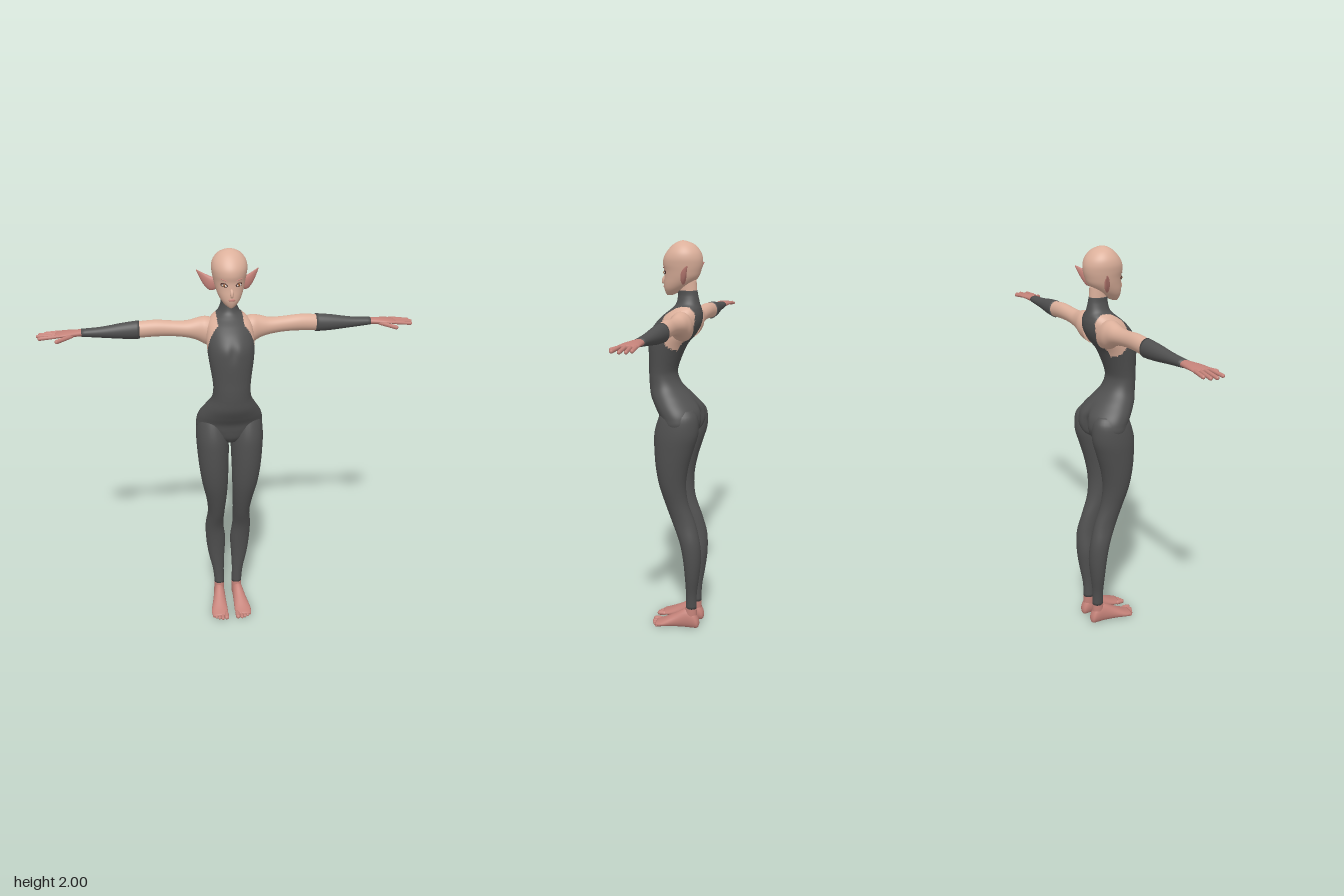
import * as THREE from 'three';

const mat = (name, color) => {
  const m = new THREE.MeshStandardMaterial({ color });
  m.name = name;
  return m;
};

// Smooth interpolation through a list of cross-sections
function refine(rings, steps) {
  const out = [], n = rings.length - 1;
  for (let i = 0; i < n; i++) {
    const [p, a, b, q] = [rings[Math.max(i - 1, 0)], rings[i], rings[i + 1], rings[Math.min(i + 2, n)]];
    for (let s = 0; s < steps; s++) {
      const t = s / steps;
      out.push(a.map((v, k) => {
        const m0 = (b[k] - p[k]) / 2, m1 = (q[k] - v) / 2, d = b[k] - v;
        return v + m0 * t + (3 * d - 2 * m0 - m1) * t * t + (m0 + m1 - 2 * d) * t * t * t;
      }));
    }
  }
  out.push(rings[n]);
  return out;
}

// Closed loft. Ring: [station, centre, half width, high side, low side].
// map(u, v, t) turns section coordinates into a point [x, y, z].
function loft(rings, map, steps = 4, sides = 32) {
  const fine = refine(rings, steps), pos = [], idx = [];
  for (const [t, c, h, hi, lo] of fine) {
    for (let j = 0; j < sides; j++) {
      const a = (j / sides) * Math.PI * 2;
      pos.push(...map(c + h * Math.cos(a), (hi + lo) / 2 + (hi - lo) / 2 * Math.sin(a), t));
    }
  }
  const last = (fine.length - 1) * sides, ends = fine.length * sides;
  for (const [t, c, , hi, lo] of [fine[0], fine.at(-1)]) pos.push(...map(c, (hi + lo) / 2, t));
  for (let j = 0; j < sides; j++) {
    const k = (j + 1) % sides;
    for (let r = 0; r < last; r += sides) {
      idx.push(r + j, r + sides + j, r + k, r + k, r + sides + j, r + sides + k);
    }
    idx.push(ends, j, k, ends + 1, last + k, last + j);
  }
  const g = new THREE.BufferGeometry();
  g.setAttribute('position', new THREE.Float32BufferAttribute(pos, 3));
  g.setIndex(idx);
  g.computeVertexNormals();
  return g;
}
const alongY = (u, v, t) => [u, t, v];   // ring: y, x centre, half width, z front, z back
const alongX = (u, v, t) => [t, v, u];   // ring: x, z centre, half depth, y top, y bottom
const alongZ = (u, v, t) => [u, v, t];   // ring: z (falling), x centre, half width, y top, y bottom

// Copy of a geometry on the other side of x = 0, with its winding kept outward
function mirrored(g) {
  const m = g.clone().scale(-1, 1, 1), ix = m.index.array;
  for (let i = 0; i < ix.length; i += 3) [ix[i], ix[i + 1]] = [ix[i + 1], ix[i]];
  m.computeVertexNormals();
  return m;
}

// Rounded finger or toe between two points
function digit(a, b, r) {
  const A = new THREE.Vector3(...a), B = new THREE.Vector3(...b), d = B.clone().sub(A);
  const g = new THREE.CapsuleGeometry(r, d.length() - r, 4, 10);
  g.applyQuaternion(new THREE.Quaternion().setFromUnitVectors(new THREE.Vector3(0, 1, 0), d.normalize()));
  return g.translate(...A.add(B).multiplyScalar(0.5).toArray());
}

const bump = (v, c, r) => Math.exp(-(((v - c) / r) ** 2));

const HEAD = [
  [1.742, 0, 0.010, 0.055, 0.03], [1.755, 0, 0.028, 0.062, 0.0], [1.775, 0, 0.045, 0.068, -0.035],
  [1.80, 0, 0.058, 0.069, -0.07], [1.83, 0, 0.068, 0.067, -0.1], [1.86, 0, 0.075, 0.067, -0.112],
  [1.89, 0, 0.081, 0.073, -0.119], [1.92, 0, 0.084, 0.069, -0.119], [1.95, 0, 0.077, 0.052, -0.108],
  [1.978, 0, 0.056, 0.026, -0.083], [1.994, 0, 0.028, 0.0, -0.05], [2.0, 0, 0.003, -0.02, -0.025],
];
const TORSO = [
  [1.05, 0, 0.05, 0.05, -0.06], [1.08, 0, 0.12, 0.07, -0.11], [1.12, 0, 0.163, 0.08, -0.131],
  [1.16, 0, 0.165, 0.088, -0.133], [1.20, 0, 0.153, 0.11, -0.12], [1.25, 0, 0.125, 0.134, -0.075],
  [1.30, 0, 0.098, 0.142, -0.022], [1.35, 0, 0.09, 0.145, 0.004], [1.40, 0, 0.093, 0.145, 0],
  [1.50, 0, 0.108, 0.146, -0.042], [1.56, 0, 0.113, 0.14, -0.09], [1.61, 0, 0.112, 0.108, -0.115],
  [1.65, 0, 0.105, 0.068, -0.12], [1.68, 0, 0.083, 0.03, -0.115], [1.705, 0, 0.052, 0.008, -0.108],
  [1.74, 0, 0.038, 0, -0.1], [1.768, 0, 0.036, 0, -0.095],
];
const LEG = [
  [0.115, 0.048, 0.027, -0.058, -0.116], [0.2, 0.053, 0.03, -0.06, -0.117], [0.3, 0.062, 0.043, -0.057, -0.131],
  [0.4, 0.066, 0.052, -0.048, -0.141], [0.5, 0.073, 0.048, -0.03, -0.136], [0.6, 0.067, 0.044, 0.01, -0.11],
  [0.7, 0.069, 0.052, 0.045, -0.073], [0.8, 0.077, 0.065, 0.074, -0.062], [0.9, 0.083, 0.074, 0.09, -0.076],
  [1.0, 0.086, 0.08, 0.096, -0.105], [1.08, 0.088, 0.081, 0.093, -0.128], [1.16, 0.088, 0.072, 0.07, -0.125],
  [1.2, 0.085, 0.05, 0.05, -0.1],
];
const ARM = [
  [0.06, -0.045, 0.05, 1.665, 1.53], [0.11, -0.045, 0.055, 1.678, 1.54], [0.15, -0.047, 0.046, 1.672, 1.562],
  [0.2, -0.047, 0.04, 1.66, 1.578], [0.27, -0.048, 0.036, 1.662, 1.587], [0.35, -0.05, 0.036, 1.668, 1.588],
  [0.44, -0.053, 0.034, 1.662, 1.583],
];
const SLEEVE = [
  [0.425, -0.053, 0.037, 1.667, 1.579], [0.5, -0.05, 0.034, 1.66, 1.583],
  [0.6, -0.046, 0.027, 1.646, 1.594], [0.695, -0.045, 0.025, 1.64, 1.604],
];
const PALM = [
  [0.68, -0.045, 0.021, 1.637, 1.607], [0.72, -0.042, 0.029, 1.638, 1.607], [0.77, -0.037, 0.04, 1.636, 1.61],
  [0.805, -0.036, 0.043, 1.631, 1.612], [0.815, -0.036, 0.036, 1.627, 1.615],
];
const FOOT = [
  [0.1, 0.064, 0.04, 0.022, 0.004], [0.06, 0.064, 0.045, 0.04, 0], [0, 0.058, 0.037, 0.074, 0],
  [-0.06, 0.052, 0.03, 0.108, 0], [-0.1, 0.05, 0.028, 0.1, 0], [-0.122, 0.05, 0.022, 0.065, 0.004],
  [-0.13, 0.05, 0.008, 0.04, 0.02],
];
const EAR = [
  [0.062, -0.04, 0.01, 1.862, 1.808], [0.09, -0.052, 0.014, 1.87, 1.802],
  [0.12, -0.067, 0.009, 1.882, 1.832], [0.148, -0.087, 0.002, 1.893, 1.887],
];

export function createModel() {
  const model = new THREE.Group();
  const skin = mat('skin', 0xdcb09b), suit = mat('suit', 0x505050), blush = mat('rosy skin', 0xc48279);
  const dark = mat('lash brown', 0x4a2c26), white = mat('eye white', 0xe6dcd4), amber = mat('amber iris', 0xa8602f);

  const add = (name, g, m) => {
    const mesh = new THREE.Mesh(g, m);
    mesh.name = name;
    model.add(mesh);
  };
  const pair = (name, g, m) => {
    add(name + 'Left', g, m);
    add(name + 'Right', mirrored(g), m);
  };

  // Torso with bust and seat shaped by rule, bare skin around the armholes
  const torso = loft(TORSO, (x, z, y) => [x, y, z < -0.02
    ? z + 0.035 * bump(x, 0, 0.022) * bump(y, 1.13, 0.07)
    : z - 0.008 * bump(x, 0, 0.02) * bump(y, 1.55, 0.04)], 8, 80);
  const p = torso.attributes.position, ix = torso.index.array, cloth = [], bare = [];
  for (let i = 0; i < ix.length; i += 3) {
    const tri = [ix[i], ix[i + 1], ix[i + 2]];
    const mid = f => tri.reduce((s, v) => s + p[f](v), 0) / 3;
    const inHole = ((mid('getZ') + 0.03) / 0.088) ** 2 + ((mid('getY') - 1.595) / 0.112) ** 2 < 1;
    (inHole && Math.abs(mid('getX')) > 0.062 ? bare : cloth).push(...tri);
  }
  torso.setIndex([...cloth, ...bare]);
  torso.addGroup(0, cloth.length, 0);
  torso.addGroup(cloth.length, bare.length, 1);
  add('torso', torso, [suit, skin]);

  // Limbs
  pair('leg', loft(LEG, alongY), suit);
  pair('upperArm', loft(ARM, alongX), skin);
  pair('sleeve', loft(SLEEVE, alongX), suit);

  // Hands: palm, four fingers and thumb
  pair('palm', loft(PALM, alongX, 4, 24), blush);
  [[-0.069, 0.865, -0.075], [-0.048, 0.892, -0.06], [-0.026, 0.9, -0.034], [-0.004, 0.89, 0.002]]
    .forEach(([z, tx, tz], i) => pair('finger' + (i + 1), digit([0.795, 1.622, z], [tx, 1.615, tz], 0.0085), blush));
  pair('thumb', digit([0.735, 1.618, -0.02], [0.81, 1.607, 0.035], 0.01), blush);

  // Feet: ankle, foot and toes
  pair('ankle', loft([[0.05, 0.05, 0.026, -0.05, -0.118], [0.09, 0.049, 0.027, -0.054, -0.117],
    [0.125, 0.048, 0.0265, -0.059, -0.115]], alongY), blush);
  pair('foot', loft(FOOT, alongZ, 4, 24), blush);
  [[0.032, 0.127, 0.0125], [0.053, 0.127, 0.0095], [0.07, 0.12, 0.009], [0.086, 0.111, 0.0085], [0.099, 0.1, 0.008]]
    .forEach(([x, z, r], i) => pair('toe' + (i + 1), digit([x - 0.002, 0.016, z - 0.045], [x, r, z - r / 2], r), blush));

  // Head, neck and pointed ears
  add('head', loft(HEAD, alongY, 5, 48), skin);
  add('neck', loft([[1.74, 0, 0.034, -0.003, -0.093], [1.77, 0, 0.034, -0.004, -0.093],
    [1.82, 0, 0.036, 0, -0.09]], alongY), skin);
  pair('ear', loft(EAR, alongX, 5, 20), blush);

  // Face: nose and thin painted features laid on the head surface
  const faceZ = (x, y) => {
    const i = HEAD.findIndex(r => r[0] > y), a = HEAD[i - 1], b = HEAD[i], t = (y - a[0]) / (b[0] - a[0]);
    const [, , w, f, k] = a.map((v, n) => v + (b[n] - v) * t);
    return (f + k) / 2 + (f - k) / 2 * Math.sqrt(1 - (x / w) ** 2);
  };
  const plate = (x, y, w, h, lift = 0, roll = 0) => new THREE.SphereGeometry(1, 20, 12)
    .scale(w, h, 0.004).rotateZ(roll).rotateY(x * 16).translate(x, y, faceZ(x, y) + lift);
  add('nose', new THREE.SphereGeometry(1, 20, 14).scale(0.009, 0.021, 0.011).rotateX(-0.3)
    .translate(0, 1.815, 0.07), skin);
  pair('eyeRim', plate(0.034, 1.852, 0.019, 0.0095, 0, 0.15), dark);
  pair('eyeWhite', plate(0.034, 1.851, 0.0155, 0.007, 0.0012, 0.15), white);
  pair('iris', plate(0.033, 1.851, 0.0065, 0.0068, 0.0024), amber);
  pair('pupil', plate(0.033, 1.851, 0.0028, 0.003, 0.0036), dark);
  pair('brow', plate(0.036, 1.876, 0.019, 0.0022, 0, 0.2), blush);
  add('lips', plate(0, 1.783, 0.016, 0.006), blush);

  return model;
}
